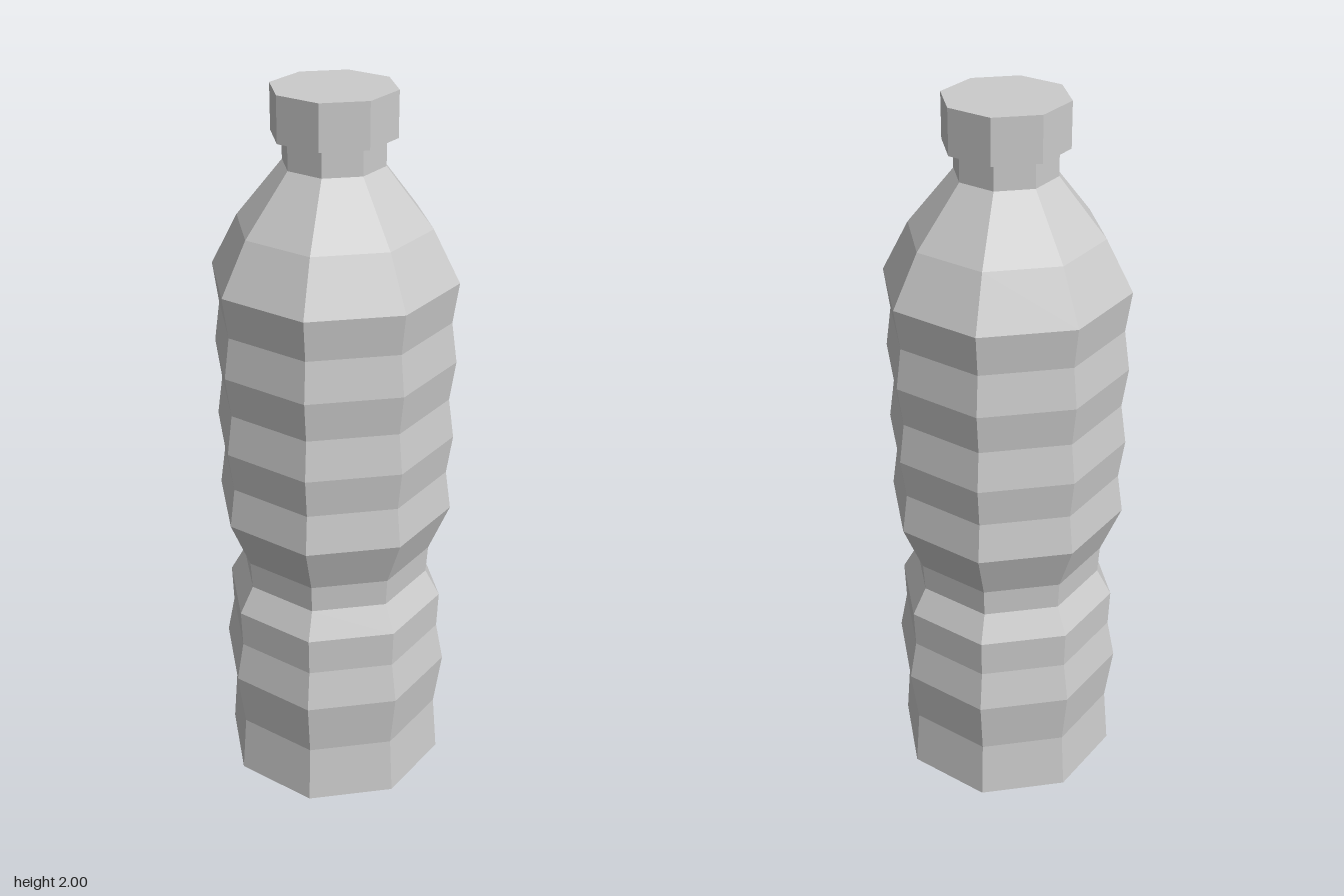
import * as THREE from 'three';

const SIDES = 8;
const material = new THREE.MeshStandardMaterial({ color: 0xcccccc, flatShading: true });

// Eight-sided turned part from [radius, height] pairs, listed bottom to top
function turned(name, profile) {
  const points = profile.map(([r, y]) => new THREE.Vector2(r, y));
  const mesh = new THREE.Mesh(new THREE.LatheGeometry(points, SIDES), material);
  mesh.name = name;
  return mesh;
}

export function createModel() {
  const bottle = new THREE.Group();
  bottle.name = 'bottle';

  // Upper ribs: alternating crests and grooves
  const ribs = [];
  for (let i = 0; i <= 6; i++) ribs.push([i % 2 ? 0.305 : 0.32, 0.885 + i * 0.1075]);

  bottle.add(turned('body', [
    [0, 0], [0.222, 0], [0.309, 0.063],                          // chamfered base
    [0.296, 0.228], [0.317, 0.385], [0.296, 0.495], [0.3, 0.6],  // lower ribs
    [0.26, 0.673], [0.265, 0.75],                                // grip waist
    ...ribs,
    [0.25, 1.665], [0.13, 1.815],                                // shoulder
  ]));

  bottle.add(turned('neck', [[0.13, 1.815], [0.13, 1.885]]));
  bottle.add(turned('cap', [[0, 1.885], [0.158, 1.885], [0.158, 2], [0, 2]]));

  return bottle;
}
